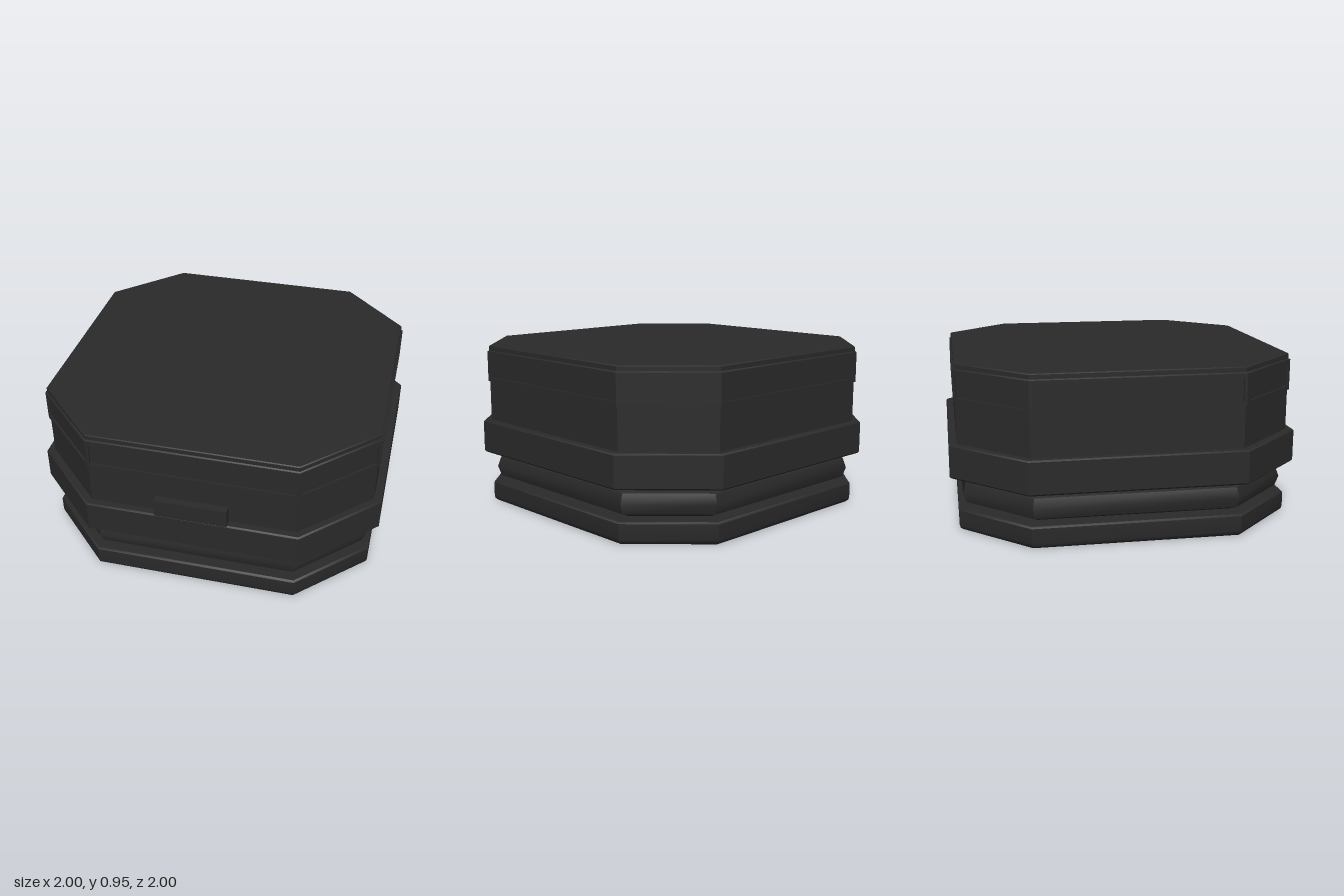
import * as THREE from 'three';
import { toCreasedNormals } from 'three/addons/utils/BufferGeometryUtils.js';

const material = new THREE.MeshStandardMaterial({ color: 0x2a2a2a });

// Corner offset of the chamfered square whose half width is a (all sides stay parallel)
const cornerOf = (a) => 0.6 - (1 - a) * (Math.SQRT2 - 1);

// Eight corners, anticlockwise seen from above
function octagon(a, y) {
  const b = cornerOf(a);
  return [[a, b], [a, -b], [b, -a], [-b, -a], [-a, -b], [-a, b], [-b, a], [b, a]]
    .map(([x, z]) => [x, y, z]);
}

// Closed solid through octagonal sections, profile = [half width, y] from bottom to top
function octagonSolid(name, profile) {
  const pos = [];
  const rings = profile.map(([a, y]) => octagon(a, y));
  const tri = (...pts) => pts.forEach((p) => pos.push(...p));
  for (let k = 0; k < rings.length - 1; k++) {
    for (let i = 0; i < 8; i++) {
      const j = (i + 1) % 8;
      const [a, b, c, d] = [rings[k][i], rings[k][j], rings[k + 1][j], rings[k + 1][i]];
      tri(a, b, c);
      tri(a, c, d);
    }
  }
  const bottom = rings[0], top = rings[rings.length - 1];
  for (let i = 1; i < 7; i++) {
    tri(bottom[0], bottom[i + 1], bottom[i]);
    tri(top[0], top[i], top[i + 1]);
  }
  const geo = new THREE.BufferGeometry();
  geo.setAttribute('position', new THREE.Float32BufferAttribute(pos, 3));
  const mesh = new THREE.Mesh(toCreasedNormals(geo, 0.72), material);
  mesh.name = name;
  return mesh;
}

// Raised rectangular border around one recessed side panel
function panelFrame(width, y0, y1, depth) {
  const w = width / 2, m = 0.018, v = 0.024;
  const shape = new THREE.Shape([[-w, y0], [w, y0], [w, y1], [-w, y1]].map((p) => new THREE.Vector2(...p)));
  shape.holes.push(new THREE.Path(
    [[-w + m, y0 + v], [-w + m, y1 - v], [w - m, y1 - v], [w - m, y0 + v]].map((p) => new THREE.Vector2(...p))));
  return new THREE.ExtrudeGeometry(shape, { depth, bevelEnabled: false });
}

export function createModel() {
  const model = new THREE.Group();
  model.name = 'octagonalStopper';

  model.add(
    octagonSolid('base', [[0.935, 0], [0.95, 0.012], [0.955, 0.03], [0.955, 0.115], [0.945, 0.125]]),
    octagonSolid('neck', [[0.735, 0.12], [0.735, 0.315]]),
    octagonSolid('sealRing', [[0.855, 0.13], [0.91, 0.155], [0.93, 0.213], [0.91, 0.27], [0.855, 0.295]]),
    octagonSolid('flange', [[0.99, 0.31], [1, 0.32], [1, 0.497], [0.992, 0.505]]),
    octagonSolid('body', [[0.955, 0.5], [0.955, 0.745]]),
    octagonSolid('panelCore', [[0.954, 0.742], [0.954, 0.92]]),
    octagonSolid('lid', [[0.963, 0.918], [0.955, 0.926], [0.955, 0.95], [0.95, 0.955]])
  );

  // Framed panels around the top band, alternating wide sides and narrow corners
  const half = 0.965, b = cornerOf(half), depth = 0.014;
  const frames = new THREE.Group();
  frames.name = 'panelFrames';
  for (let i = 0; i < 8; i++) {
    const diagonal = i % 2 === 1;
    const width = diagonal ? (half - b) * Math.SQRT2 : 2 * b;
    const reach = diagonal ? (half + b) / Math.SQRT2 : half;
    const geo = panelFrame(width, 0.742, 0.92, depth);
    geo.translate(0, 0, reach - depth);
    geo.rotateY((i * Math.PI) / 4);
    const frame = new THREE.Mesh(geo, material);
    frame.name = diagonal ? 'cornerPanelFrame' : 'sidePanelFrame';
    frames.add(frame);
  }
  model.add(frames);

  // Front tab rising flush from the flange
  const tab = new THREE.Mesh(new THREE.BoxGeometry(0.41, 0.11, 0.06), material);
  tab.name = 'frontTab';
  tab.position.set(0, 0.55, 0.969);
  model.add(tab);

  return model;
}
